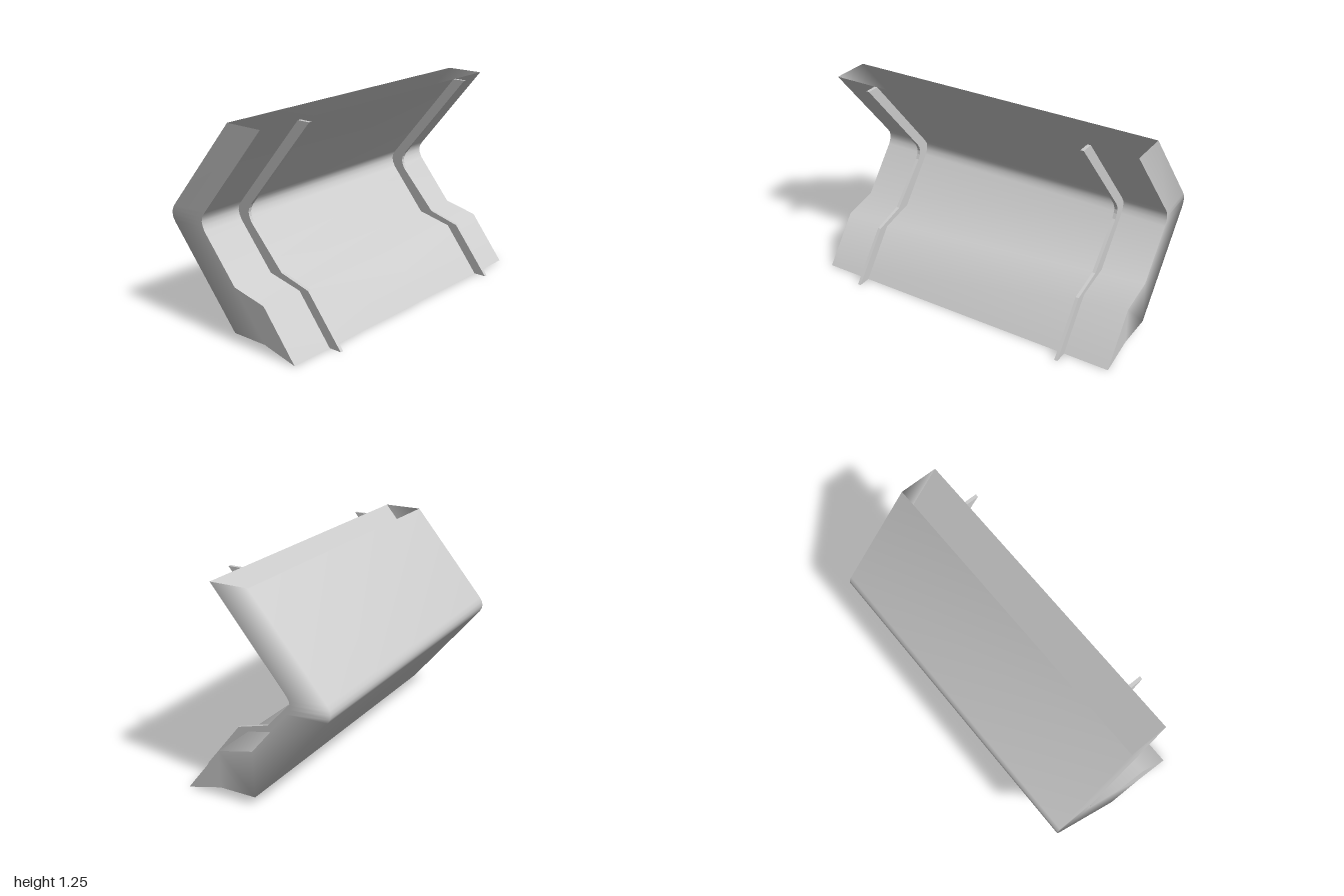
import * as THREE from 'three';

// Matching side profiles (x, y), listed from top to bottom
const outer = [[-0.03, 1.25], [-0.49, 0.705], [-0.505, 0.68], [-0.51, 0.655], [-0.505, 0.63], [-0.49, 0.605], [-0.03, 0.055], [0.2, 0.055], [0.42, 0]];
const inner = [[0.21, 1.25], [-0.24, 0.71], [-0.26, 0.68], [-0.265, 0.655], [-0.26, 0.63], [-0.245, 0.6], [-0.02, 0.33], [0.2, 0.28], [0.42, 0]];
const lip = [[0.29, 1.25], [-0.165, 0.705], [-0.18, 0.68], [-0.185, 0.655], [-0.18, 0.63], [-0.165, 0.6], [0.065, 0.35], [0.265, 0.295], [0.5, 0]];
const wallEnd = 6; // the back wall stops at this profile point

const material = new THREE.MeshStandardMaterial({ color: 0xcccccc, side: THREE.DoubleSide });

// Skin a series of [profile, z] columns; keep(column, row) may leave out quads
function skin(name, columns, keep = () => true) {
  const rows = columns[0][0].length;
  const positions = [];
  const index = [];
  for (const [profile, z] of columns) {
    for (const [x, y] of profile) positions.push(x, y, z);
  }
  for (let c = 0; c < columns.length - 1; c++) {
    for (let r = 0; r < rows - 1; r++) {
      if (!keep(c, r)) continue;
      const a = c * rows + r;
      const b = a + rows;
      index.push(a, b, b + 1, a, b + 1, a + 1);
    }
  }
  const geometry = new THREE.BufferGeometry();
  geometry.setAttribute('position', new THREE.Float32BufferAttribute(positions, 3));
  geometry.setIndex(index);
  geometry.computeVertexNormals();
  const mesh = new THREE.Mesh(geometry, material);
  mesh.name = name;
  return mesh;
}

// Thin raised rib following the inner panel
function rib(name, z) {
  const outline = [...lip, ...[...inner].reverse()].map(([x, y]) => new THREE.Vector2(x, y));
  const geometry = new THREE.ExtrudeGeometry(new THREE.Shape(outline), { depth: 0.02, bevelEnabled: false });
  geometry.translate(0, 0, z - 0.01);
  const mesh = new THREE.Mesh(geometry, material);
  mesh.name = name;
  return mesh;
}

export function createModel() {
  const group = new THREE.Group();
  group.name = 'bentDuctPanel';

  // Two side walls and the back wall, softly joined and open at top and bottom
  group.add(skin('outerShell', [[inner, 1], [outer, 1], [outer, -1], [inner, -1]],
    (c, r) => c !== 1 || r < wallEnd));

  // Concave inner panel
  group.add(skin('innerPanel', [[inner, -1], [inner, 1]]));

  // Pair of ribs
  group.add(rib('frontRib', 0.71), rib('backRib', -0.71));
  return group;
}
